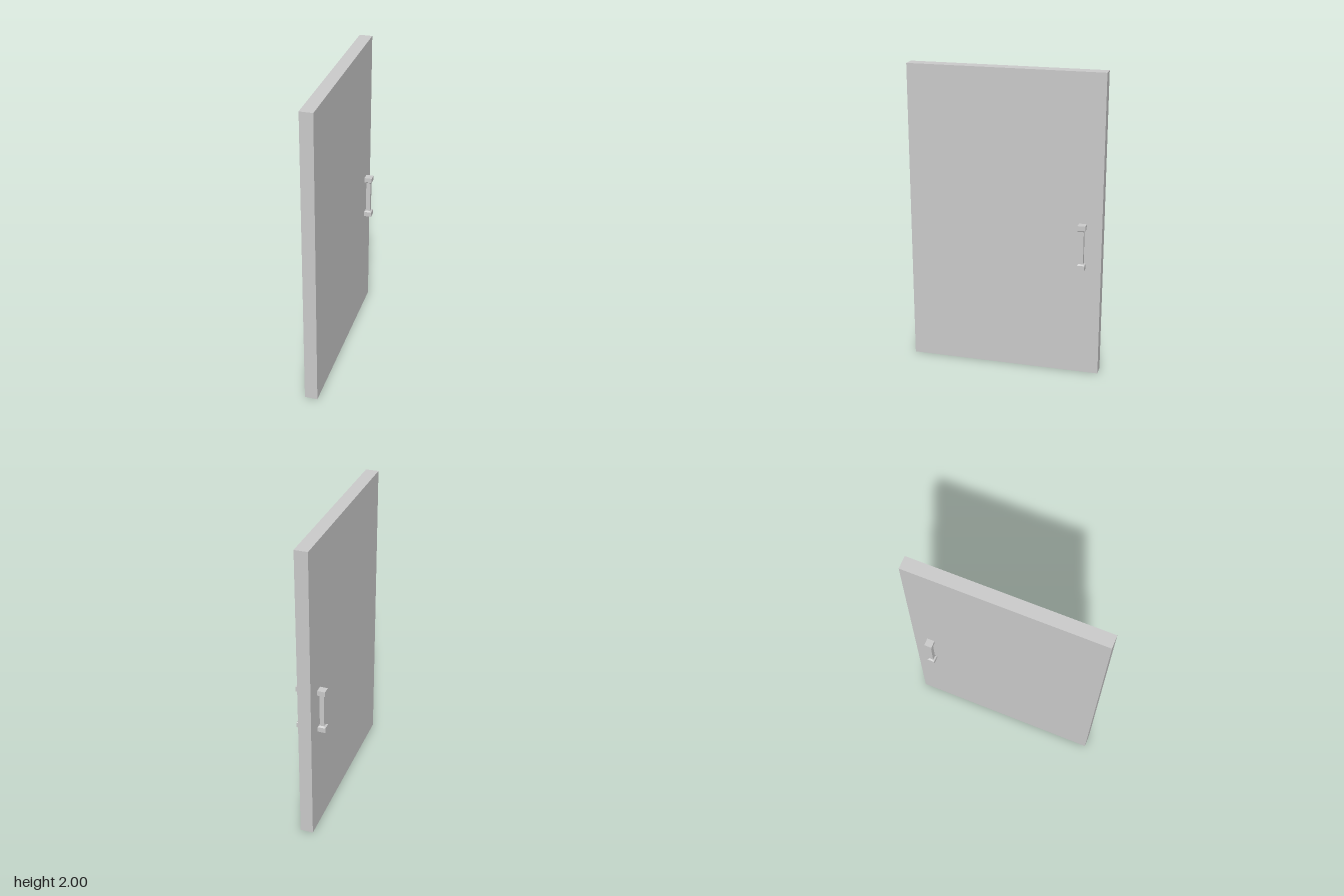
import * as THREE from 'three';

const material = new THREE.MeshStandardMaterial({ color: 0xcccccc, flatShading: true });

// Square-section pull handle: end blocks tapering into a slimmer bar
function createHandle(name, x, z) {
  const bottom = 0.738, top = 1.037, block = 0.025, bar = 0.0145;
  const profile = [
    [0, bottom], [block, bottom], [block, bottom + 0.033], [bar, bottom + 0.041],
    [bar, top - 0.041], [block, top - 0.033], [block, top], [0, top],
  ].map(([half, y]) => new THREE.Vector2(half * Math.SQRT2, y));
  const handle = new THREE.Mesh(new THREE.LatheGeometry(profile, 4, Math.PI / 4), material);
  handle.name = name;
  handle.position.set(x, 0, z);
  return handle;
}

export function createModel() {
  const model = new THREE.Group();
  model.name = 'door';

  // Door slab, standing ajar
  const panel = new THREE.Mesh(new THREE.BoxGeometry(0.084, 2, 1.267), material);
  panel.name = 'doorPanel';
  panel.position.y = 1;

  // A handle on each face near the free edge
  const leaf = new THREE.Group();
  leaf.name = 'doorLeaf';
  leaf.add(panel, createHandle('leftHandle', 0.067, -0.51), createHandle('rightHandle', -0.072, -0.51));
  leaf.rotation.y = THREE.MathUtils.degToRad(-20);
  leaf.position.x = -0.006;

  model.add(leaf);
  return model;
}
